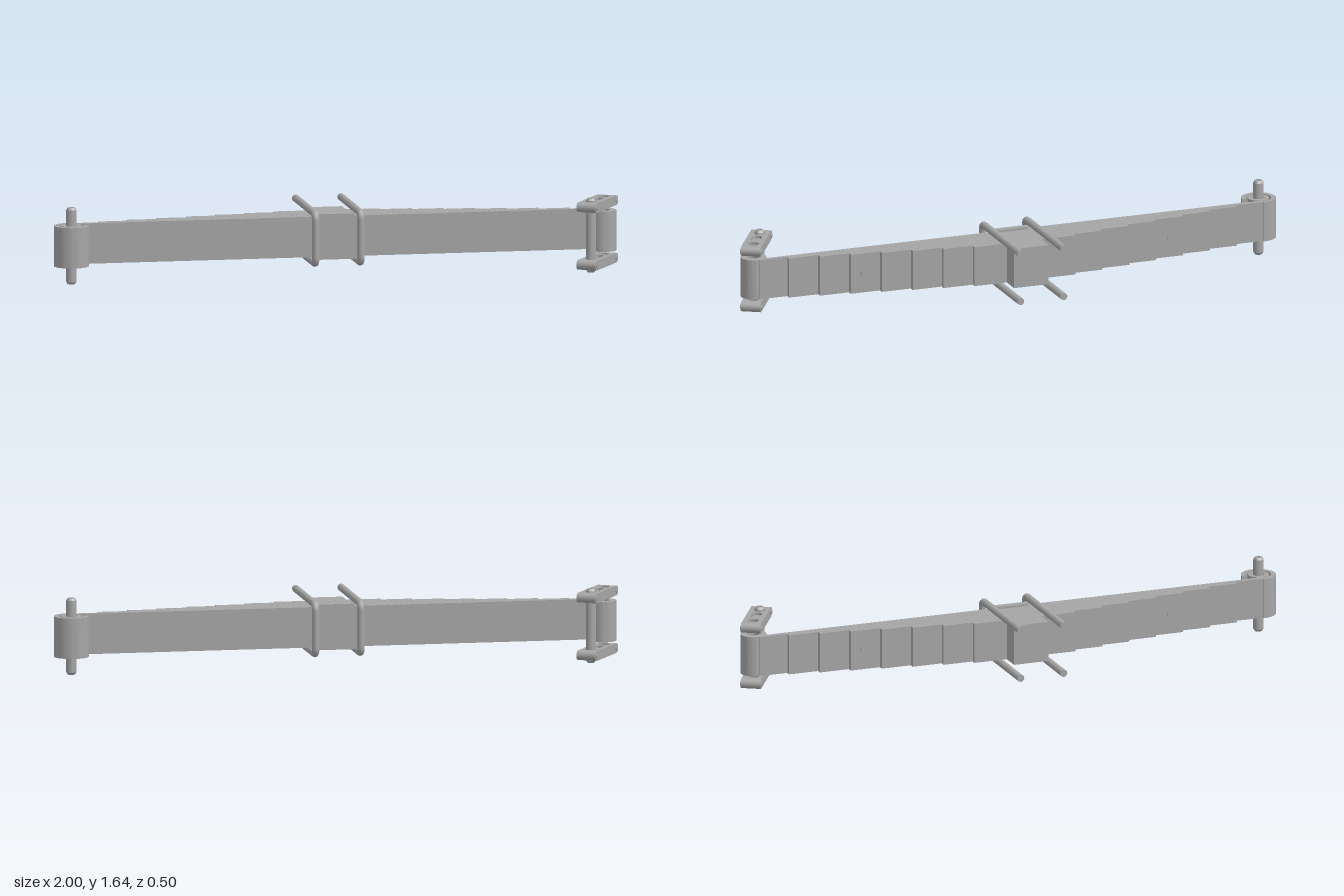
import * as THREE from 'three';
import { toCreasedNormals } from 'three/addons/utils/BufferGeometryUtils.js';

const steel = new THREE.MeshStandardMaterial({ color: 0xa6a6a6 });
steel.name = 'steel grey';

const WIDTH = 0.142;      // leaf width (vertical)
const LEAF = 0.018;       // leaf thickness
const TILT = 0.029;       // slight lean of the leaf pack

function add(parent, name, geometry, x = 0, y = 0, z = 0) {
  const mesh = new THREE.Mesh(geometry, steel);
  mesh.name = name;
  mesh.position.set(x, y, z);
  parent.add(mesh);
  return mesh;
}

// Extrude a plan outline (shape y becomes z) to a centred height along y
function plan(shape, height) {
  const g = new THREE.ExtrudeGeometry(shape, { depth: height, bevelEnabled: false, curveSegments: 24 });
  g.translate(0, 0, -height / 2);
  g.rotateX(Math.PI / 2);
  return toCreasedNormals(g, 0.6);
}

function circleHole(x, r) {
  return new THREE.Path().absarc(x, 0, r, 0, Math.PI * 2, true);
}

function ring(outer, inner, height) {
  const s = new THREE.Shape().absarc(0, 0, outer, 0, Math.PI * 2, false);
  s.holes.push(circleHole(0, inner));
  return plan(s, height);
}

// Open three-quarter wrap at the fixed end of the main leaf
function wrap(outer, inner, height) {
  const s = new THREE.Shape();
  s.absarc(0, 0, outer, -Math.PI / 2, -Math.PI * 2, true);
  s.absarc(0, 0, inner, -Math.PI * 2, -Math.PI / 2, false);
  return plan(s, height);
}

// Chamfered pin with a small centre hole in each end
function pin(r, half) {
  const pts = [[0, -half + 0.012], [0.007, -half + 0.012], [0.007, -half], [r - 0.005, -half], [r, -half + 0.008],
    [r, half - 0.008], [r - 0.005, half], [0.007, half], [0.007, half - 0.012], [0, half - 0.012]];
  return toCreasedNormals(new THREE.LatheGeometry(pts.map(p => new THREE.Vector2(...p)), 24), 0.5);
}

function stud(r, length) {
  return new THREE.CylinderGeometry(r, r, length, 16).rotateX(Math.PI / 2);
}

// U-bolt: two long legs joined by a rounded bar at the front
function uBolt() {
  const path = new THREE.CurvePath();
  const h = 0.087, back = -0.32, front = 0.05, c = 0.022;
  const v = (y, z) => new THREE.Vector3(0, y, z);
  path.add(new THREE.LineCurve3(v(h, back), v(h, front - c)));
  path.add(new THREE.QuadraticBezierCurve3(v(h, front - c), v(h, front), v(h - c, front)));
  path.add(new THREE.LineCurve3(v(h - c, front), v(c - h, front)));
  path.add(new THREE.QuadraticBezierCurve3(v(c - h, front), v(-h, front), v(-h, front - c)));
  path.add(new THREE.LineCurve3(v(-h, front - c), v(-h, back)));
  return new THREE.TubeGeometry(path, 120, 0.013, 14, false);
}

function leafPack() {
  const pack = new THREE.Group();
  pack.name = 'leafPack';
  pack.position.z = 0.07;
  pack.rotation.y = TILT;

  // Stack of leaves, each shorter than the one in front
  for (let i = 0; i < 8; i++) {
    const right = i ? 0.94 - 0.108 * i : 0.935;
    const left = i ? -0.94 + 0.107 * i : -0.94;
    const g = new THREE.BoxGeometry(right - left, WIDTH, LEAF - 0.001);
    add(pack, i ? 'leaf' : 'mainLeaf', g, (right + left) / 2, 0, -(i + 0.5) * LEAF);
  }

  // Centre clamp: rear block, front plate and centre bolt
  add(pack, 'clampBlock', new THREE.BoxGeometry(0.128, WIDTH, 0.07), 0, 0, -0.179);
  add(pack, 'clampPlate', new THREE.BoxGeometry(0.13, 0.16, 0.024), 0, 0, -0.006);
  add(pack, 'centreBolt', stud(0.008, 0.226), 0, 0, -0.103);

  for (const side of [-1, 1]) {
    const bolt = add(pack, 'uBolt', uBolt(), side * 0.08);
    for (const y of [-0.087, 0.087]) {
      const cap = new THREE.CircleGeometry(0.013, 14).rotateY(Math.PI);
      add(bolt, 'uBoltEnd', cap, 0, y, -0.32);
    }
    add(pack, 'leafRivet', stud(0.01, 0.01), side * 0.57, 0, -4 * LEAF);
  }
  return pack;
}

// Shackle link: flat bar with pin hole, recessed slot and rounded ends
function shacklePlate() {
  const link = new THREE.Group();
  link.name = 'shacklePlate';
  const L = 0.097, W = 0.035, T = 0.034;
  const s = new THREE.Shape();
  s.moveTo(-L, -W).lineTo(L, -W).lineTo(L, W).lineTo(-L, W).closePath();
  for (const x of [-0.063, 0.063]) s.holes.push(circleHole(x, 0.02));
  const slot = new THREE.Path();
  slot.absarc(0.014, 0, 0.017, Math.PI / 2, -Math.PI / 2, true);
  slot.absarc(-0.014, 0, 0.017, -Math.PI / 2, -Math.PI * 1.5, true);
  s.holes.push(slot);
  add(link, 'shackleBar', plan(s, T));
  add(link, 'slotFloor', new THREE.BoxGeometry(0.07, 0.014, 0.05));
  for (const x of [-L, L]) {
    add(link, 'roundedEnd', new THREE.CylinderGeometry(T / 2, T / 2, 2 * W, 20).rotateX(Math.PI / 2), x);
    add(link, 'pinchBolt', stud(0.009, 2 * W + 0.006), x);
  }
  link.rotation.y = Math.atan2(-0.87, -0.495);
  return link;
}

function spring() {
  const unit = new THREE.Group();
  unit.name = 'leafSpring';
  unit.add(leafPack());

  // Fixed eye with open wrap, bushing and pin
  add(unit, 'fixedEyeWrap', wrap(0.061, 0.044, WIDTH), -0.939, 0, 0.134);
  add(unit, 'fixedBushing', ring(0.037, 0.021, WIDTH), -0.939, 0, 0.134);
  add(unit, 'fixedPin', pin(0.018, 0.134), -0.939, 0, 0.134);

  // Swinging eye, shackle plates and shackle pin
  add(unit, 'shackleEye', ring(0.045, 0.022, WIDTH), 0.94, 0, 0.073);
  for (const side of [-1, 1]) {
    const link = shacklePlate();
    link.position.set(0.91, side * 0.101, 0.128);
    unit.add(link);
  }
  add(unit, 'shacklePin', pin(0.017, 0.13), 0.879, 0, 0.183);
  return unit;
}

export function createModel() {
  const model = new THREE.Group();
  model.name = 'leafSpringPair';
  for (const y of [0.136, 1.507]) {
    const unit = spring();
    unit.position.y = y;
    model.add(unit);
  }
  return model;
}
